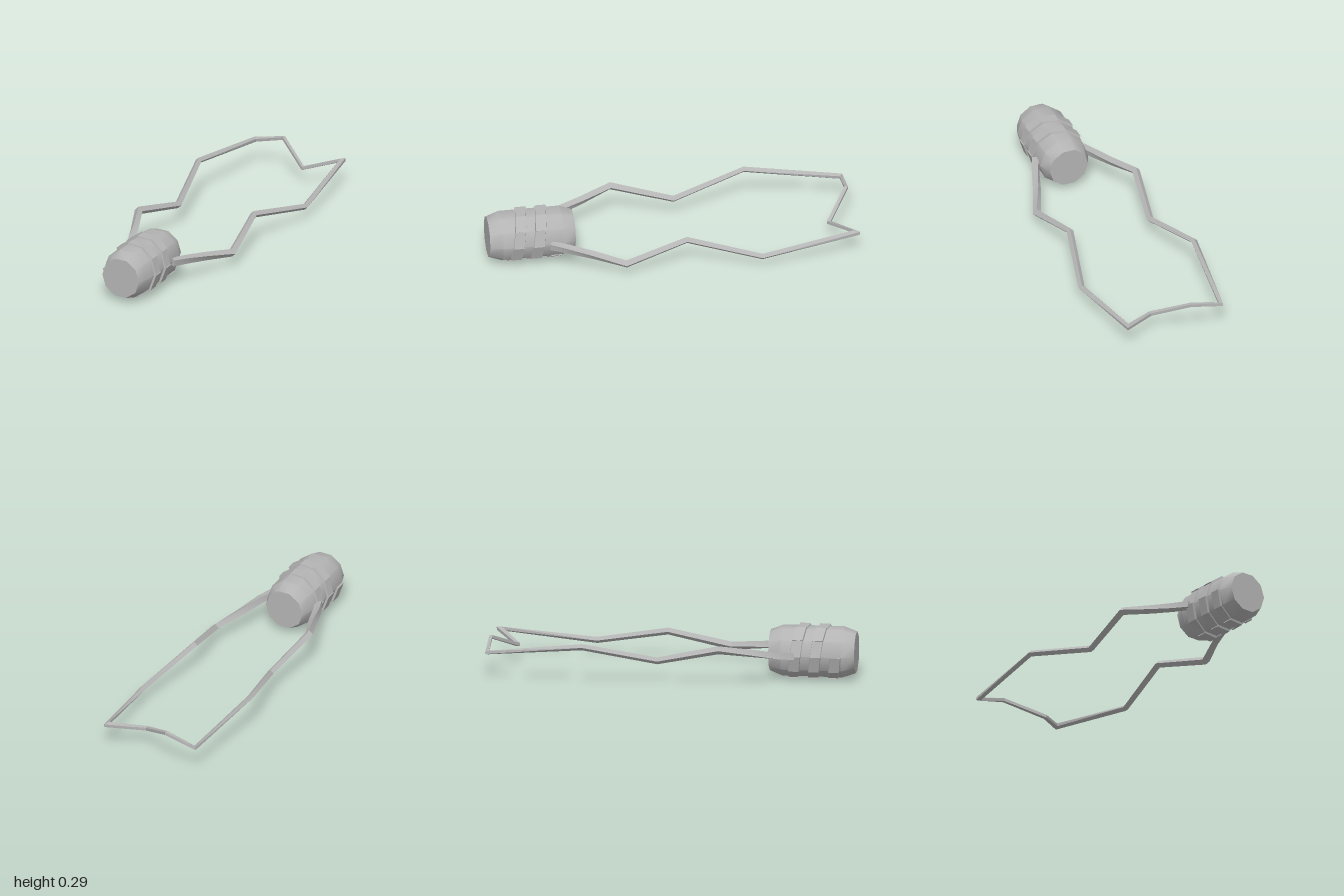
import * as THREE from 'three';
import { mergeGeometries, toCreasedNormals } from 'three/addons/utils/BufferGeometryUtils.js';

const CY = 0.143; // height of the barrel axis
const V = (x, y, z) => new THREE.Vector3(x, y, z);

// Skin a row of four-cornered sections and close both ends
function loft(sections) {
  const index = [];
  for (let s = 0; s < sections.length - 1; s++) {
    for (let k = 0; k < 4; k++) {
      const a = s * 4 + k, b = s * 4 + (k + 1) % 4;
      index.push(a, b, b + 4, a, b + 4, a + 4);
    }
  }
  const e = (sections.length - 1) * 4;
  index.push(0, 2, 1, 0, 3, 2, e, e + 1, e + 2, e, e + 2, e + 3);
  const geo = new THREE.BufferGeometry().setFromPoints(sections.flat());
  geo.setIndex(index);
  return toCreasedNormals(geo, 0.5);
}

// Square bar along a bent path, mitred at corners; each point: x, y, z, width, tilt
function bar(points) {
  const p = points.map(([x, y, z]) => V(x, y, z));
  return loft(p.map((c, i) => {
    const next = p[Math.min(i + 1, p.length - 1)], prev = p[Math.max(i - 1, 0)];
    const d1 = (i > 0 ? c.clone().sub(prev) : next.clone().sub(c)).normalize();
    const d2 = (i < p.length - 1 ? next.clone().sub(c) : d1.clone()).normalize();
    const t = d1.clone().add(d2).normalize();
    const [, , , w, tilt] = points[i];
    const side = V(Math.sin(tilt), Math.cos(tilt), 0).cross(t).normalize();
    const up = t.clone().cross(side);
    side.multiplyScalar(w / 2 / Math.max(t.dot(d1), 0.5));
    up.multiplyScalar(w / 2);
    return [[1, 1], [-1, 1], [-1, -1], [1, -1]].map(([a, b]) =>
      c.clone().addScaledVector(side, a).addScaledVector(up, b));
  }));
}

export function createModel() {
  const group = new THREE.Group();
  const grey = new THREE.MeshStandardMaterial({ color: 0xb4b4b4 });
  grey.name = 'grey metal';
  const add = (name, geo) => {
    const mesh = new THREE.Mesh(geo, grey);
    mesh.name = name;
    group.add(mesh);
  };

  // Ten-sided barrel with tapered ends
  const profile = [[0, 0.53], [0.112, 0.53], [0.139, 0.6], [0.139, 0.93], [0.114, 1], [0, 1]]
    .map(([r, z]) => new THREE.Vector2(r, z));
  const barrel = new THREE.LatheGeometry(profile, 10, Math.PI / 2);
  barrel.rotateX(Math.PI / 2).translate(0, CY, 0);
  add('barrel', toCreasedNormals(barrel, 0.68));

  // Spiral ridge, one block per facet, alternately higher and lower
  const count = 24, step = Math.PI / 5, blocks = [];
  for (let i = 0; i < count; i++) {
    const outer = i % 2 ? 0.151 : 0.145;
    blocks.push(loft([i, i + 1].map((j) => {
      const angle = Math.PI + (count - j) * step;
      const z = 0.9 - (count - j) * 0.011;
      return [[outer, 0.028], [0.12, 0.034], [0.12, -0.034], [outer, -0.028]].map(([r, dz]) =>
        V(r * Math.cos(angle), CY + r * Math.sin(angle), z + dz));
    })));
  }
  add('spiralRidge', mergeGeometries(blocks));

  // Arm path on the -x side; the other arm is the same turned half round
  const T = Math.PI / 4;
  const arm = [
    [-0.137, 0.145, 0.67, 0.036, 0.1],
    [-0.175, 0.154, 0.58, 0.035, 0.25],
    [-0.22, 0.176, 0.45, 0.033, 0.5],
    [-0.29, 0.206, 0.28, 0.031, T],
    [-0.235, 0.121, -0.06, 0.027, T],
    [-0.33, 0.209, -0.46, 0.024, T],
    [-0.272, 0.146, -0.987, 0.018, 0.3],
  ];
  const otherArm = arm.map(([x, y, z, w, tilt]) => [-x, 2 * CY - y, z, w, tilt]).reverse();

  // One continuous wire loop with a kinked end
  add('wireLoop', bar([
    ...arm,
    [-0.095, 0.19, -0.987, 0.017, 0],
    [0.092, 0.1, -0.862, 0.017, 0],
    ...otherArm,
  ]));
  return group;
}
